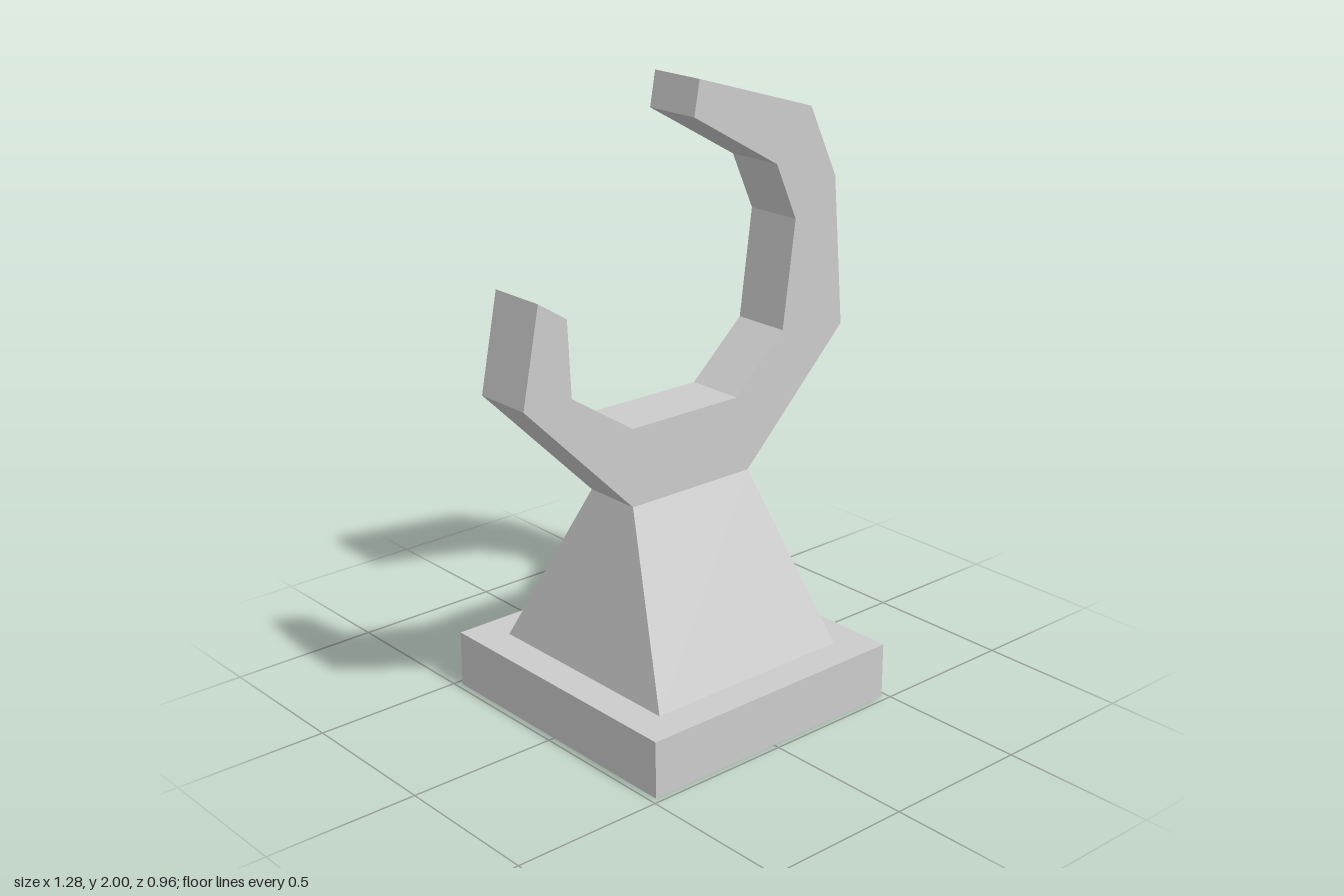
import * as THREE from 'three';

export function createModel() {
  const model = new THREE.Group();
  const material = new THREE.MeshStandardMaterial({ color: 0xcccccc, flatShading: true });
  const add = (name, geometry) => {
    const mesh = new THREE.Mesh(geometry, material);
    mesh.name = name;
    model.add(mesh);
    return mesh;
  };

  const baseTop = 0.185, neckTop = 0.735, depth = 0.196;

  // Square plinth
  add('base', new THREE.BoxGeometry(0.96, baseTop, 0.96)).position.y = baseTop / 2;

  // Pedestal: a box tapering to the footprint of the cradle
  const height = neckTop - baseTop;
  const taper = new THREE.BoxGeometry(0.736, height, 0.736);
  const p = taper.attributes.position;
  for (let i = 0; i < p.count; i++) {
    if (p.getY(i) > 0) {
      p.setX(i, Math.sign(p.getX(i)) * 0.237);
      p.setZ(i, Math.sign(p.getZ(i)) * depth / 2);
    }
  }
  taper.computeVertexNormals();
  add('pedestal', taper).position.y = baseTop + height / 2;

  // Open hook: short arm on the right, long curling arm on the left
  const outline = [
    [-0.237, neckTop], [0.237, neckTop], [0.64, 1.135], [0.597, 1.625],
    [0.485, 1.86], [0.025, 2.0], [0.005, 1.89], [0.343, 1.7],
    [0.427, 1.515], [0.38, 1.165], [0.185, 0.987], [-0.237, 0.987],
    [-0.465, 1.135], [-0.478, 1.378], [-0.58, 1.443], [-0.64, 1.135],
  ].map(([x, y]) => new THREE.Vector2(x, y));
  const hook = new THREE.ExtrudeGeometry(new THREE.Shape(outline), { depth, bevelEnabled: false });
  add('hook', hook).position.z = -depth / 2;

  return model;
}
